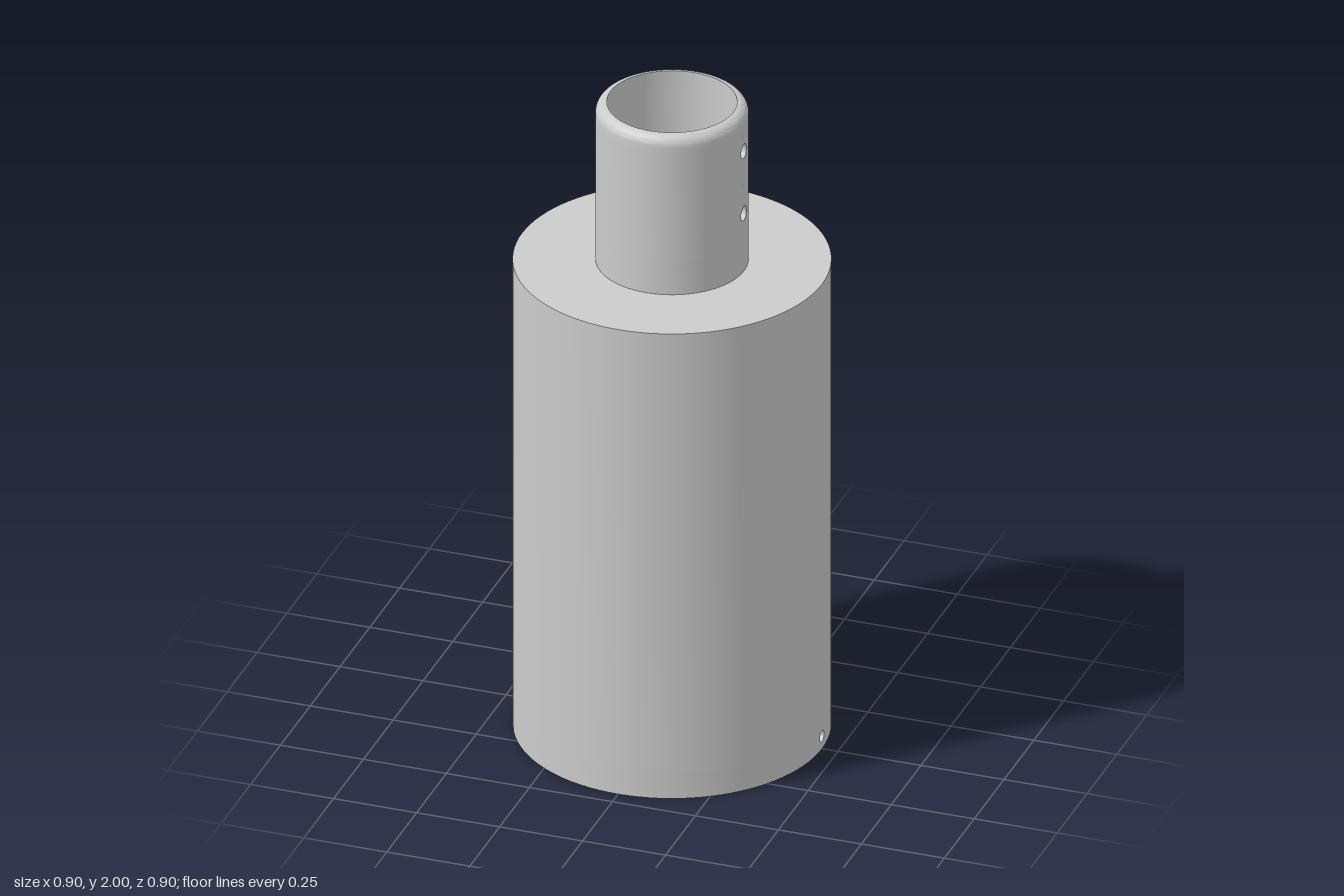
import * as THREE from 'three';
import { toCreasedNormals } from 'three/addons/utils/BufferGeometryUtils.js';

const SEGMENTS = 96;
const STEP = (Math.PI * 2) / SEGMENTS;
const BODY = { outer: 0.452, inner: 0.432 };
const NECK = { outer: 0.217, inner: 0.185 };
const SHOULDER = 1.495;

const material = new THREE.MeshStandardMaterial({ color: 0xcccccc, side: THREE.DoubleSide });

function addMesh(group, name, geometry) {
  const mesh = new THREE.Mesh(geometry, material);
  mesh.name = name;
  group.add(mesh);
}

// Turned part from [radius, height] pairs, outside going up and inside coming down
function turned(profile, start = 0, segments = SEGMENTS) {
  const points = profile.map(([r, y]) => new THREE.Vector2(r, y));
  return toCreasedNormals(new THREE.LatheGeometry(points, segments, start, segments * STEP), 0.6);
}

// Flat panel with round holes, wrapped onto the tube wall at the given angle
function drilledPanel({ outer, inner }, y0, y1, halfSteps, holes, angle) {
  const shape = new THREE.Shape();
  shape.moveTo(-halfSteps * STEP * outer, y0);
  for (let i = -halfSteps + 1; i <= halfSteps; i++) shape.lineTo(i * STEP * outer, y0);
  for (let i = halfSteps; i >= -halfSteps; i--) shape.lineTo(i * STEP * outer, y1);
  for (const [y, r] of holes) {
    shape.holes.push(new THREE.Path().absarc(0, y, r, 0, Math.PI * 2, true));
  }
  const geometry = new THREE.ExtrudeGeometry(shape, {
    depth: outer - inner, bevelEnabled: false, curveSegments: 24,
  });
  const pos = geometry.attributes.position;
  const nor = geometry.attributes.normal;
  for (let i = 0; i < pos.count; i++) {
    const phi = angle + pos.getX(i) / outer;
    const r = inner + pos.getZ(i);
    const s = Math.sin(phi), c = Math.cos(phi);
    const nx = nor.getX(i), nz = nor.getZ(i);
    pos.setXYZ(i, r * s, pos.getY(i), r * c);
    nor.setXYZ(i, nx * c + nz * s, nor.getY(i), nz * c - nx * s);
  }
  return geometry;
}

// Ring of tube wall, drilled through along x
function drilledRing(name, tube, y0, y1, halfSteps, holes) {
  const ring = new THREE.Group();
  ring.name = name;
  const wall = [[tube.outer, y0], [tube.outer, y1], [tube.inner, y1], [tube.inner, y0], [tube.outer, y0]];
  for (const angle of [Math.PI / 2, Math.PI * 1.5]) {
    addMesh(ring, name + 'Wall', turned(wall, angle + halfSteps * STEP, SEGMENTS / 2 - 2 * halfSteps));
    addMesh(ring, name + 'Holes', drilledPanel(tube, y0, y1, halfSteps, holes, angle));
  }
  return ring;
}

export function createModel() {
  const model = new THREE.Group();
  model.name = 'steppedSleeve';
  const skirtTop = 0.08, neckLow = 1.6, neckHigh = 1.95;

  // Open lower rim with a small cross hole
  model.add(drilledRing('lowerRim', BODY, 0, skirtTop, 1, [[0.04, 0.018]]));

  // Hollow body, closed by the shoulder plate, and the foot of the neck
  addMesh(model, 'bodyAndShoulder', turned([
    [BODY.outer, skirtTop], [BODY.outer, SHOULDER],
    [NECK.outer, SHOULDER], [NECK.outer, neckLow],
    [NECK.inner, neckLow], [NECK.inner, SHOULDER], [0, SHOULDER],
  ]));
  addMesh(model, 'bodyInterior', turned([
    [0, SHOULDER - 0.025], [BODY.inner, SHOULDER - 0.025], [BODY.inner, skirtTop],
  ]));

  // Neck with two cross holes
  model.add(drilledRing('neck', NECK, neckLow, neckHigh, 2, [[1.68, 0.022], [1.88, 0.022]]));

  // Rounded mouth of the neck
  const fillet = NECK.outer - NECK.inner;
  const mouth = [[NECK.outer, neckHigh]];
  for (let i = 0; i <= 8; i++) {
    const a = (i / 8) * Math.PI / 2;
    mouth.push([NECK.inner + fillet * Math.cos(a), 2 - fillet + fillet * Math.sin(a)]);
  }
  mouth.push([NECK.inner, neckHigh]);
  addMesh(model, 'neckMouth', turned(mouth));

  return model;
}
